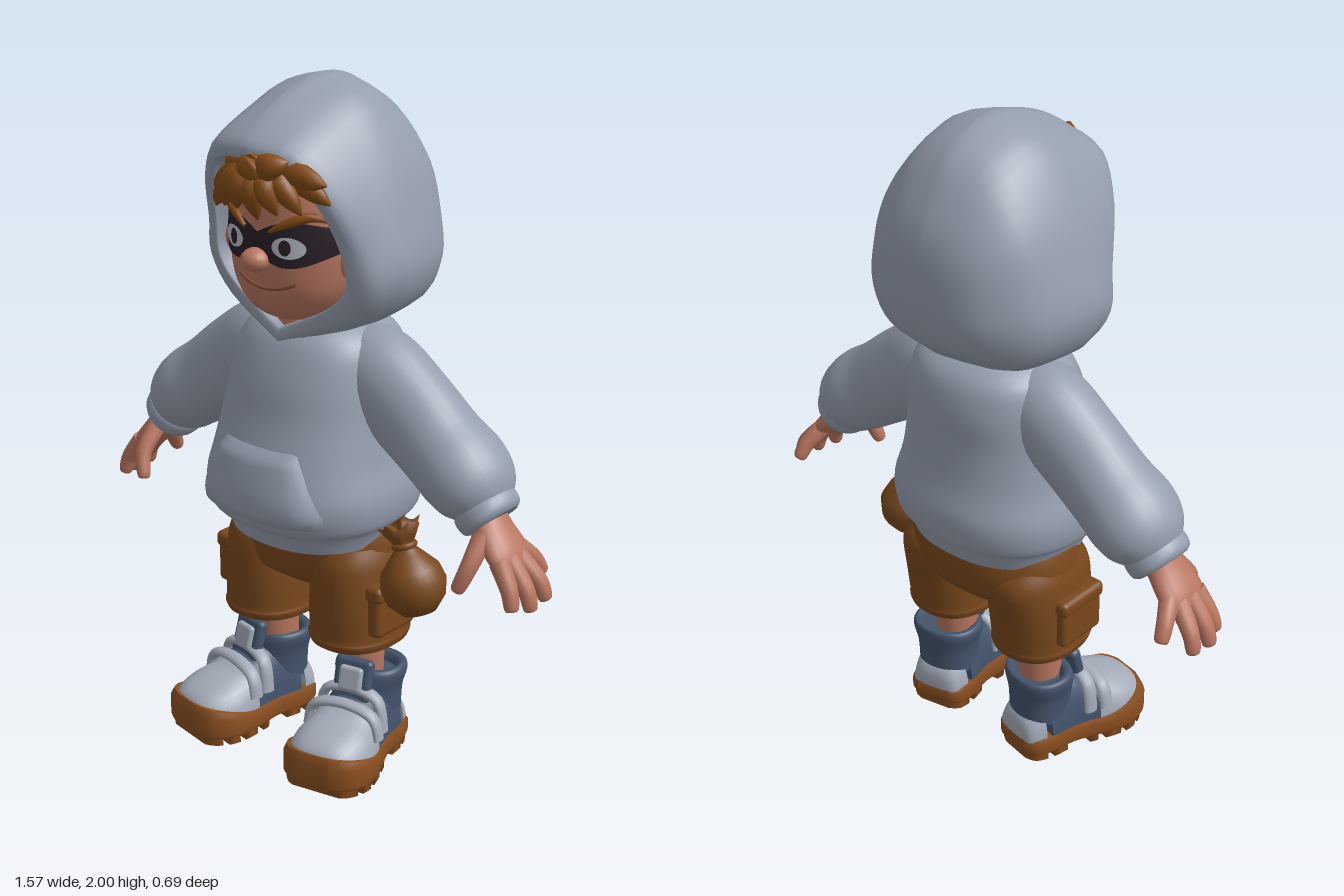
import * as THREE from 'three';
import { RoundedBoxGeometry } from 'three/addons/geometries/RoundedBoxGeometry.js';

const mat = (name, color, side = THREE.FrontSide) => Object.assign(new THREE.MeshStandardMaterial({ color, side }), { name });

// Catmull-Rom refinement of rows of numbers
function refine(rows, k) {
  const out = [], n = rows.length;
  for (let i = 0; i < n - 1; i++) for (let s = 0; s < k; s++) {
    const t = s / k, A = rows[Math.max(i - 1, 0)], C = rows[i + 1], D = rows[Math.min(i + 2, n - 1)];
    out.push(rows[i].map((b, j) => 0.5 * (2 * b + (C[j] - A[j]) * t + (2 * A[j] - 5 * b + 4 * C[j] - D[j]) * t * t
      + (3 * b - A[j] - 3 * C[j] + D[j]) * t * t * t)));
  }
  out.push(rows[n - 1]);
  return out;
}

// Skin closed rings of [x, y, z] points, with optional flat caps
function loft(rings, cap = true) {
  const mean = r => r.map(() => [0, 1, 2].map(c => r.reduce((a, p) => a + p[c], 0) / r.length));
  const first = rings[0], last = rings[rings.length - 1];
  const bands = cap ? [[mean(first), first], rings, [last, mean(last)]] : [rings];
  const pos = [], idx = [], n = first.length;
  for (const band of bands) {
    const base = pos.length / 3;
    band.forEach(r => r.forEach(p => pos.push(...p)));
    for (let i = 0; i < band.length - 1; i++) for (let j = 0; j < n; j++) {
      const a = base + i * n + j, b = base + i * n + (j + 1) % n;
      idx.push(a, b, b + n, a, b + n, a + n);
    }
  }
  return finish(pos, idx);
}
function finish(pos, idx) {
  const g = new THREE.BufferGeometry();
  g.setAttribute('position', new THREE.Float32BufferAttribute(pos, 3));
  g.setIndex(idx);
  g.computeVertexNormals();
  return g;
}

const pw = (v, p) => Math.sign(v) * Math.abs(v) ** (2 / p);
// Horizontal oval from a row [y, halfWidth, zFront, zBack]
const oval = ([y, w, f, b], cx = 0, p = 2.3, tilt = 0, n = 40) => Array.from({ length: n }, (_, i) => {
  const t = i / n * Math.PI * 2, z = (f + b) / 2 + (f - b) / 2 * pw(Math.cos(t), p);
  return [cx + w * pw(Math.sin(t), p), y - tilt * z, z];
});
const stack = (rows, cx, p, tilt) => loft(rows.map(r => oval(r, cx, p, tilt)));
// Front z of such a stack at (x, y)
function frontZ(rows, x, y, p = 2.3) {
  let i = 0;
  while (i < rows.length - 2 && rows[i + 1][0] < y) i++;
  const t = (y - rows[i][0]) / (rows[i + 1][0] - rows[i][0]);
  const [, w, f, b] = rows[i].map((v, c) => v + (rows[i + 1][c] - v) * t);
  return (f + b) / 2 + (f - b) / 2 * Math.max(0, 1 - Math.abs(x / w) ** p) ** (1 / p);
}
// Grid sheet from fn(u, v) -> [x, y, z]
function sheet(fn, nu = 32, nv = 10) {
  const pos = [], idx = [];
  for (let j = 0; j <= nv; j++) for (let i = 0; i <= nu; i++) pos.push(...fn(i / nu, j / nv));
  for (let j = 0; j < nv; j++) for (let i = 0; i < nu; i++) {
    const a = j * (nu + 1) + i, d = a + nu + 1;
    idx.push(a, a + 1, d + 1, a, d + 1, d);
  }
  return finish(pos, idx);
}
// Tapered tube through [x, y, z, radiusTowardZ, radiusAcross]
function limb(pts, k = 5, n = 18) {
  const rows = refine(pts, k), V = r => new THREE.Vector3(r[0], r[1], r[2]);
  return loft(rows.map((r, i) => {
    const D = V(rows[Math.min(i + 1, rows.length - 1)]).sub(V(rows[Math.max(i - 1, 0)])).normalize();
    const N = new THREE.Vector3(0, 0, 1).addScaledVector(D, -D.z).normalize(), B = D.clone().cross(N);
    return Array.from({ length: n }, (_, j) => {
      const t = j / n * Math.PI * 2;
      return V(r).addScaledVector(N, r[3] * Math.cos(t)).addScaledVector(B, r[4] * Math.sin(t)).toArray();
    });
  }));
}

export function createModel() {
  const root = new THREE.Group();
  const cloth = mat('hoodieGrey', 0x959eae, THREE.DoubleSide), skin = mat('skin', 0xb87660), hairM = mat('hairBrown', 0x834a16);
  const brown = mat('shortsBrown', 0x7a481c), rubber = mat('soleBrown', 0x8a4f20), navy = mat('shoeBlue', 0x44546c);
  const pale = mat('shoeGrey', 0xa3abb8), dark = mat('maskBlack', 0x2a2028, THREE.DoubleSide);
  const white = mat('eyeWhite', 0xb8bcc8, THREE.DoubleSide), lip = mat('lip', 0x84483a);
  const add = (name, geo, m, parent = root) => {
    const o = new THREE.Mesh(geo, m);
    o.name = name;
    parent.add(o);
    return o;
  };

  // Hood: half outlines from the face opening to the back
  const opening = [[0, 1.82, .29], [.12, 1.8, .27], [.19, 1.71, .22], [.23, 1.58, .17], [.235, 1.47, .15], [.16, 1.39, .15], [0, 1.31, .165]];
  const flat = (z, ...xy) => xy.map(([x, y]) => [x, y, z]);
  const halves = [
    opening.map(([x, y, z]) => [x * .93, 1.57 + (y - 1.57) * .95, z - .14]),
    opening.map(([x, y, z]) => [x * .98, 1.57 + (y - 1.57) * .98, z - .03]),
    opening,
    [[0, 1.87, .275], [.14, 1.845, .25], [.23, 1.73, .2], [.28, 1.58, .14], [.298, 1.46, .115], [.21, 1.36, .125], [0, 1.275, .165]],
    [[0, 1.96, .13], [.14, 1.91, .11], [.235, 1.79, .08], [.3, 1.62, .06], [.325, 1.48, .04], [.235, 1.35, .06], [0, 1.27, .1]],
    flat(-.03, [0, 2], [.14, 1.95], [.24, 1.81], [.303, 1.64], [.33, 1.49], [.25, 1.36], [0, 1.3]),
    flat(-.18, [0, 1.95], [.13, 1.9], [.23, 1.78], [.28, 1.63], [.297, 1.49], [.22, 1.37], [0, 1.33]),
    flat(-.275, [0, 1.82], [.1, 1.79], [.18, 1.71], [.21, 1.6], [.21, 1.5], [.15, 1.42], [0, 1.39]),
    flat(-.318, [0, 1.71], [.06, 1.69], [.1, 1.65], [.125, 1.58], [.125, 1.52], [.08, 1.475], [0, 1.46]),
    flat(-.333, [0, 1.57], [0, 1.57], [0, 1.57], [0, 1.57], [0, 1.57], [0, 1.57], [0, 1.57])];
  const hoodRings = halves.map(h => {
    const half = refine(h, 4);
    return [...half, ...half.slice(1, -1).reverse().map(([x, y, z]) => [-x, y, z])];
  });
  const hood = refine(hoodRings.map(r => r.flat()), 4).map(f => Array.from({ length: f.length / 3 }, (_, i) => f.slice(i * 3, i * 3 + 3)));
  add('hood', loft(hood, false), cloth);

  // Hoodie torso with hem and front pocket
  const body = refine([[.69, .25, .22, -.225], [.745, .272, .24, -.245], [.77, .298, .28, -.27], [.85, .306, .3, -.28], [.95, .28, .28, -.255],
    [1.07, .262, .24, -.24], [1.17, .25, .215, -.24], [1.26, .23, .18, -.215], [1.31, .18, .145, -.16], [1.34, .11, .1, -.09]], 4);
  add('torso', stack(body, 0, 2.3, .06), cloth);
  add('frontPocket', sheet((u, v) => {
    const y = .79 + .22 * v, w = .225 - .09 * Math.max(0, v - .2) / .8, x = (u * 2 - 1) * w;
    const edge = Math.min(1, 9 * Math.min(u, 1 - u, v, 1 - v));
    const z = frontZ(body, x, y) + .025 * Math.sqrt(edge) - .004;
    return [x, y - .06 * z, z];
  }), cloth);

  // Head, nose, neck
  const head = refine([[1.335, .05, .13, -.02], [1.35, .1, .175, -.06], [1.385, .15, .21, -.1], [1.45, .19, .232, -.13], [1.55, .207, .238, -.15],
    [1.65, .205, .232, -.15], [1.75, .175, .215, -.13], [1.81, .1, .15, -.08]], 5);
  const face = (x, y, off = 0) => [x, y, frontZ(head, x, y) + off];
  add('head', stack(head), skin);
  const nose = add('nose', new THREE.SphereGeometry(.04, 20, 14), skin);
  nose.position.set(0, 1.53, .252);
  nose.scale.set(1.05, .85, 1.05);
  add('neck', new THREE.CylinderGeometry(.08, .085, .14, 24), skin).position.set(0, 1.33, .055);

  // Mask, mouth
  add('mask', sheet((u, v) => {
    const x = (u * 2 - 1) * .198, a = Math.abs(x) / .198, bump = Math.sin(Math.PI * Math.min(1, a * .92 + .04));
    const lo = 1.553 - .04 * bump + .01 * a, hi = 1.603 + .032 * bump + .02 * a;
    return face(x, lo + (hi - lo) * v, .008);
  }, 48, 8), dark);
  const smile = Array.from({ length: 9 }, (_, i) => {
    const t = i / 4 - 1;
    return [...face(.015 + t * .095, 1.448 + .024 * t * t, .001), .005, .005];
  });
  add('mouth', limb(smile, 2, 8), lip);

  // Hair fringe: tufts swept from the crown
  const base = add('hairBase', new THREE.SphereGeometry(1, 24, 14), hairM);
  base.position.set(.02, 1.775, .2);
  base.scale.set(.165, .055, .075);
  const tips = [[-.175, 1.69, .22], [-.135, 1.66, .26], [-.08, 1.675, .285], [-.02, 1.68, .3], [.05, 1.66, .295], [.11, 1.68, .285],
    [.17, 1.685, .255], [.235, 1.715, .215], [.235, 1.77, .23], [.155, 1.835, .29], [.06, 1.825, .31]];
  tips.forEach(([x, y, z], i) => add('hairTuft' + (i + 1), limb([[.04, 1.79, .22, .03, .03],
    [.04 + (x - .04) * .45, y + (1.8 - y) * .7, z + .015, .033, .038], [.04 + (x - .04) * .82, y + (1.8 - y) * .3, z + .012, .022, .026],
    [x, y, z, .003, .003]], 4, 10), hairM));

  for (const s of [1, -1]) {
    const side = s > 0 ? 'left' : 'right';
    const S = pts => pts.map(([x, ...r]) => [x * s, ...r]);
    // Eyes, brows, ears
    const disc = (cx, cy, w, h, off) => sheet((r, a) => face(cx + w * r * Math.cos(a * 6.2832), cy + h * r * Math.sin(a * 6.2832), off), 5, 24);
    add(side + 'Eye', disc(s * .098, 1.575, .046, .03, .011), white);
    add(side + 'Pupil', disc(s * .092, 1.576, .017, .022, .014), dark);
    add(side + 'Brow', limb([[.045, 1.615, .009, .005], [.1, 1.645, .012, .014], [.15, 1.662, .012, .013], [.185, 1.645, .006, .004]]
      .map(([x, y, a, b]) => [...face(x * s, y, .01), a, b]), 4, 10), hairM);
    const ear = add(side + 'Ear', new THREE.SphereGeometry(.05, 16, 12), skin);
    ear.position.set(s * .212, 1.53, .1);
    ear.scale.set(.45, 1, .8);

    // Sleeve, cuff
    add(side + 'Sleeve', limb(S([[.1, 1.22, -.03, .1, .1], [.2, 1.18, -.03, .122, .138], [.32, 1.1, -.03, .122, .138], [.43, 1.02, -.03, .128, .128],
      [.51, .965, -.03, .14, .125], [.56, .915, -.03, .125, .11], [.59, .88, -.03, .088, .08]]), 5, 28), cloth);
    add(side + 'Cuff', limb(S([[.57, .9, -.025, .08, .075], [.583, .886, -.025, .098, .09], [.61, .86, -.025, .097, .088], [.62, .85, -.025, .08, .07]]), 3, 24), cloth);

    // Hand
    const hand = new THREE.Group();
    hand.name = side + 'Hand';
    root.add(hand);
    add('palm', limb(S([[.595, .87, -.02, .055, .045], [.63, .825, -.015, .07, .042], [.675, .775, -.015, .08, .036], [.7, .745, -.015, .068, .026]])), skin, hand);
    const fingers = { thumb: [[.625, .825, .03], [.625, .755, .09], [.605, .69, .112]], indexFinger: [[.685, .765, .035], [.73, .7, .048], [.745, .652, .055]],
      middleFinger: [[.69, .765, 0], [.75, .695, 0], [.768, .642, 0]], ringFinger: [[.685, .765, -.04], [.748, .7, -.062], [.766, .65, -.07]],
      littleFinger: [[.67, .78, -.06], [.695, .735, -.108], [.705, .692, -.135]] };
    for (const [name, [a, b, c]] of Object.entries(fingers)) {
      const tip = c.map((v, i) => v + (c[i] - b[i]) * .15);
      add(name, limb(S([[...a, .03, .03], [...b, .025, .025], [...c, .02, .02], [...tip, .007, .007]]), 4, 12), skin, hand);
    }

    // Shorts leg, cargo pocket, shin
    add(side + 'ShortsLeg', stack(refine([[.37, .127, .148, -.15], [.39, .133, .156, -.157], [.41, .13, .152, -.157], [.5, .13, .155, -.17],
      [.62, .12, .15, -.19], [.68, .1, .12, -.16]], 4), s * .165), brown);
    add(side + 'CargoPocket', new RoundedBoxGeometry(.05, .15, .17, 3, .018), brown).position.set(s * .289, .5, .01);
    add(side + 'PocketFlap', new RoundedBoxGeometry(.06, .05, .18, 3, .018), brown).position.set(s * .29, .56, .01);
    add(side + 'Shin', new THREE.CylinderGeometry(.07, .062, .24, 24), skin).position.set(s * .168, .31, -.01);

    // Shoe, turned slightly outward
    const shoe = new THREE.Group();
    shoe.name = side + 'Shoe';
    shoe.position.set(s * .185, 0, -.03);
    shoe.rotation.y = s * .2;
    root.add(shoe);
    const plan = refine([[-.1, .05], [-.08, .085], [-.02, .1], [.06, .1], [.14, .12], [.22, .137], [.28, .132], [.33, .1], [.352, .045]], 3);
    const slab = (z0, z1, levels) => {
      const cut = plan.filter(([z]) => z >= z0 && z <= z1);
      return loft(levels.map(([y, k, lift]) => {
        const at = q => ([z, w]) => [q * w * k, y + Math.max(0, z - .18) * lift, .12 + (z - .12) * k];
        return [...cut.map(at(-1)), ...[...cut].reverse().map(at(1))];
      }));
    };
    add('sole', slab(-1, 1, [[.022, .96, 0], [.035, 1, 0], [.065, 1, .2], [.08, .95, .25]]), rubber, shoe);
    [[-.1, -.03], [-.02, .05], [.09, .145], [.155, .225], [.235, .285], [.292, .345]].forEach(([a, b], i) =>
      add('tread' + (i + 1), slab(a, b, [[0, .95, 0], [.03, .97, 0]]), rubber, shoe));
    const upper = refine([[-.097, .03, .09], [-.085, .075, .14], [-.02, .095, .2], [.06, .095, .25], [.12, .105, .225], [.18, .12, .19],
      [.24, .127, .172], [.3, .11, .15], [.333, .075, .125], [.342, .02, .09]], 4);
    const shell = (z0, z1) => loft(upper.filter(([z]) => z >= z0 && z <= z1).map(([z, w, top]) => Array.from({ length: 32 }, (_, i) => {
      const t = i / 32 * Math.PI * 2;
      return [w * pw(Math.cos(t), 2.5), .055 + (top - .055) * Math.max(0, pw(Math.sin(t), 2.5)), z];
    })));
    add('heelCounter', shell(-1, -.036), pale, shoe);
    add('midUpper', shell(-.037, .151), navy, shoe);
    add('toeCap', shell(.149, 1), pale, shoe);
    add('ankleCollar', stack(refine([[.12, .088, .09, -.085], [.2, .092, .092, -.088], [.255, .106, .09, -.095], [.278, .1, .08, -.09],
      [.275, .082, .06, -.07], [.25, .07, .05, -.06]], 4)), navy, shoe);
    const tongue = add('tongue', new RoundedBoxGeometry(.12, .13, .035, 3, .015), navy, shoe);
    tongue.position.set(0, .26, .105);
    tongue.rotation.x = -.25;
    const pad = add('tonguePad', new RoundedBoxGeometry(.075, .075, .025, 3, .011), pale, shoe);
    pad.position.set(0, .268, .122);
    pad.rotation.x = -.25;
    [[.115, .236, .105], [.165, .208, .117]].forEach(([z, y, w], i) => add('strap' + (i + 1), limb([[-w, .12, z, .022, .012],
      [-w * .8, y - .022, z, .022, .014], [0, y, z, .022, .014], [w * .8, y - .022, z, .022, .014], [w, .12, z, .022, .012]], 5, 12), pale, shoe));
  }

  // Shorts seat
  add('shortsSeat', stack(refine([[.53, .18, .1, -.13], [.56, .245, .142, -.185], [.63, .275, .158, -.208], [.71, .265, .158, -.2], [.76, .24, .15, -.18]], 4)), brown);

  // Drawstring pouch on the left hip
  const pouch = new THREE.Group();
  pouch.name = 'pouch';
  pouch.position.set(.37, .595, .01);
  pouch.rotation.z = .3;
  root.add(pouch);
  add('pouchBag', new THREE.LatheGeometry([[0, -.095], [.05, -.084], [.085, -.045], [.097, 0], [.085, .045], [.05, .085], [.027, .11], [.025, .12]]
    .map(p => new THREE.Vector2(...p)), 32), brown, pouch);
  const tie = add('pouchTie', new THREE.TorusGeometry(.028, .01, 10, 24), brown, pouch);
  tie.position.y = .115;
  tie.rotation.x = Math.PI / 2;
  const ruffle = [[.112, .024], [.145, .042], [.18, .06], [.165, .035], [.14, .01]].map(([y, r], k) => Array.from({ length: 40 }, (_, i) => {
    const t = i / 40 * Math.PI * 2, q = r * (1 + .06 * k * Math.sin(5 * t));
    return [q * Math.sin(t), y + .004 * k * Math.cos(5 * t), q * Math.cos(t)];
  }));
  add('pouchRuffle', loft(ruffle), brown, pouch);
  return root;
}
